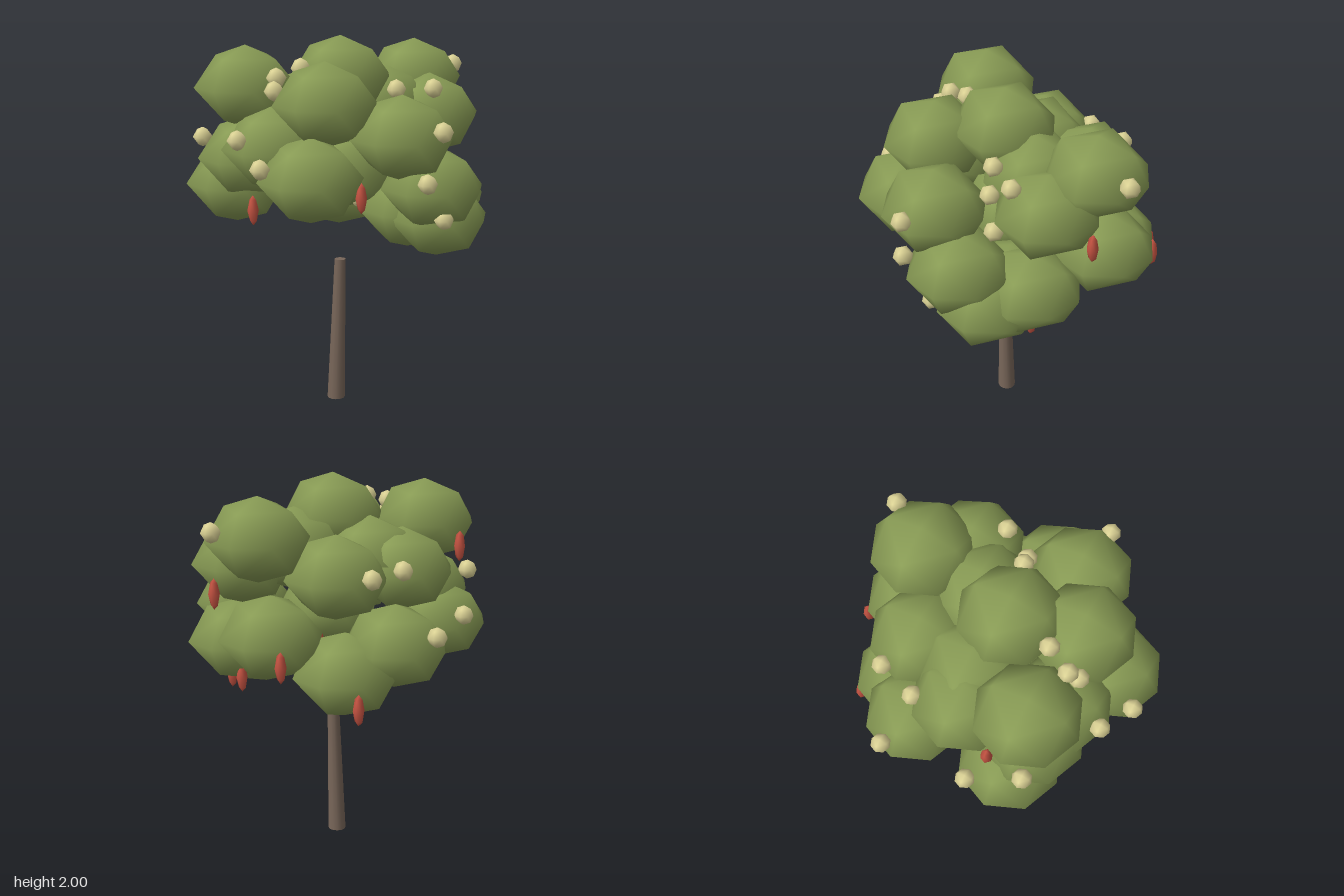
import * as THREE from 'three';

const mat = (name, color) => {
  const m = new THREE.MeshStandardMaterial({ color });
  m.name = name;
  return m;
};

export function createModel() {
  const tree = new THREE.Group();
  tree.name = 'fruitTree';
  const green = mat('leafGreen', 0x899c55);
  const cream = mat('blossomCream', 0xddd496);
  const red = mat('fruitRed', 0xc65342);
  const brown = mat('barkBrown', 0x786659);

  // Slightly leaning, tapered trunk
  const trunkGeo = new THREE.CylinderGeometry(0.03, 0.048, 0.8, 12);
  trunkGeo.translate(0, 0.4, 0);
  const p = trunkGeo.attributes.position;
  for (let i = 0; i < p.count; i++) p.setX(i, p.getX(i) - 0.037 + 0.027 * p.getY(i) / 0.8);
  trunkGeo.translate(0, 0, 0.045);
  const trunk = new THREE.Mesh(trunkGeo, brown);
  trunk.name = 'trunk';
  tree.add(trunk);

  // Scatter one rounded octahedron shape over a list of positions
  const scatter = (name, material, [rx, ry, rz], spots) => {
    const group = new THREE.Group();
    group.name = name + 's';
    const geo = new THREE.OctahedronGeometry(1, 1);
    geo.scale(rx, ry, rz);
    spots.forEach(([x, y, z]) => {
      const m = new THREE.Mesh(geo, material);
      m.name = name;
      m.position.set(x, y, z);
      group.add(m);
    });
    tree.add(group);
  };

  // Foliage clumps, from the crown downwards
  scatter('leafClump', green, [0.27, 0.215, 0.268], [
    [-0.01, 1.785, 0.04], [0.12, 1.73, -0.515], [-0.4, 1.74, 0.34], [0.11, 1.69, 0.375],
    [0.1, 1.63, -0.18], [-0.26, 1.59, -0.03], [0.31, 1.57, -0.345], [-0.22, 1.54, -0.34],
    [-0.42, 1.54, 0.01], [0.45, 1.53, 0.2], [-0.18, 1.45, 0.41], [-0.37, 1.38, 0.36],
    [0.13, 1.34, 0.54], [0.53, 1.26, 0.03], [0.04, 1.25, -0.54], [-0.5, 1.22, 0.3],
    [-0.5, 1.2, -0.24], [0.38, 1.14, -0.29], [0.49, 1.075, -0.11], [-0.31, 1.075, -0.42],
    [0.3, 1.09, -0.14], [0, 1.3, 0],
  ]);

  // Round pale blossoms
  scatter('blossom', cream, [0.052, 0.052, 0.052], [
    [0.25, 1.79, -0.735], [-0.46, 1.57, -0.43], [-0.75, 1.29, -0.3], [-0.53, 1.58, -0.22],
    [0.41, 1.725, -0.2], [0.28, 1.73, -0.04], [-0.71, 1.29, 0.16], [-0.62, 1.47, 0.43],
    [-0.09, 1.85, 0.29], [-0.15, 1.81, 0.42], [-0.13, 1.75, 0.47], [-0.23, 1.52, 0.65],
    [-0.03, 1.41, 0.74], [0.7, 1.585, 0.24], [0.64, 1.33, 0.28], [0.65, 1.12, 0.12],
    [0.08, 1.14, 0], [-0.13, 1.14, -0.22], [0.36, 1.62, -0.06], [0.4, 1.44, -0.1],
  ]);

  // Long hanging fruit
  scatter('hangingFruit', red, [0.03, 0.08, 0.03], [
    [-0.64, 1.63, 0.25], [-0.28, 1.12, 0.46], [0.3, 1.23, 0.34], [-0.13, 1.17, -0.745],
    [-0.48, 0.97, -0.61], [0.33, 1.45, -0.595], [-0.25, 1.1, -0.1], [0.41, 0.95, -0.31],
    [0.29, 0.97, -0.41], [-0.04, 1.15, -0.18],
  ]);

  return tree;
}
